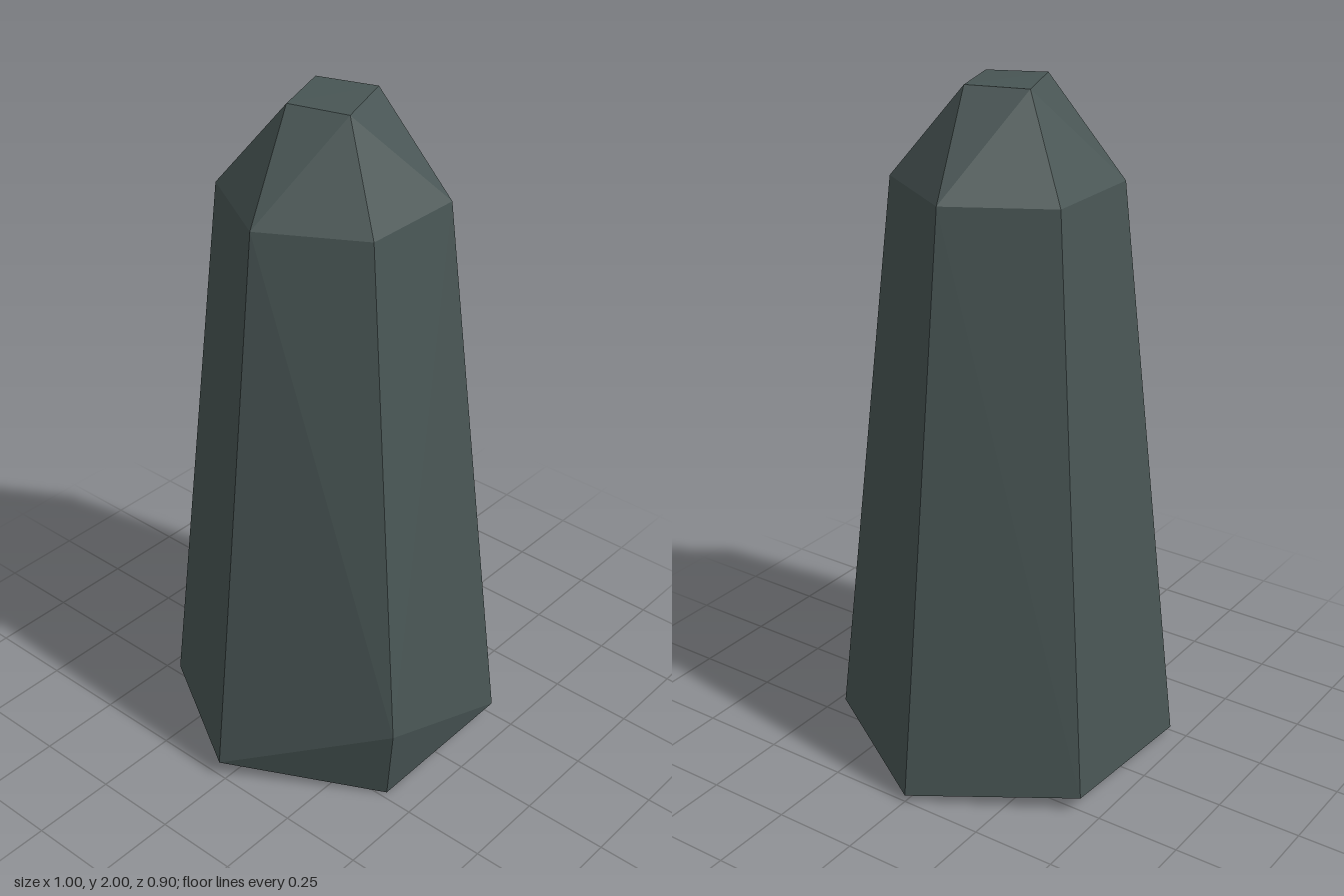
import * as THREE from 'three';
import { ConvexGeometry } from 'three/addons/geometries/ConvexGeometry.js';

export function createModel() {
  const group = new THREE.Group();
  group.name = 'standingStone';
  const stone = new THREE.MeshStandardMaterial({ color: 0x485554, flatShading: true });
  stone.name = 'dark slate';

  // Tilted square tip
  const tip = [[-0.12, 2, -0.06], [0.07, 2, -0.13], [0.125, 2, 0.04], [-0.065, 1.995, 0.105]];

  // Regular hexagonal shoulder
  const shoulder = [];
  for (let i = 0; i < 6; i++) {
    const a = (i * Math.PI) / 3;
    shoulder.push([0.318 * Math.cos(a), 1.73, -0.01 + 0.318 * Math.sin(a)]);
  }

  // Uneven hexagonal foot with one chipped corner
  const foot = [
    [0.5, 0.02, 0], [0.26, 0.05, -0.443], [-0.24, 0.02, -0.45],
    [-0.5, 0.05, -0.022], [-0.23, 0, 0.4], [0.242, 0.05, 0.43],
  ];
  const chip = [[-0.265, 0.265, 0.447]];

  // All facets are planes of one convex block
  const points = [...tip, ...shoulder, ...foot, ...chip].map((p) => new THREE.Vector3(...p));
  const block = new THREE.Mesh(new ConvexGeometry(points), stone);
  block.name = 'stoneBlock';
  group.add(block);
  return group;
}
